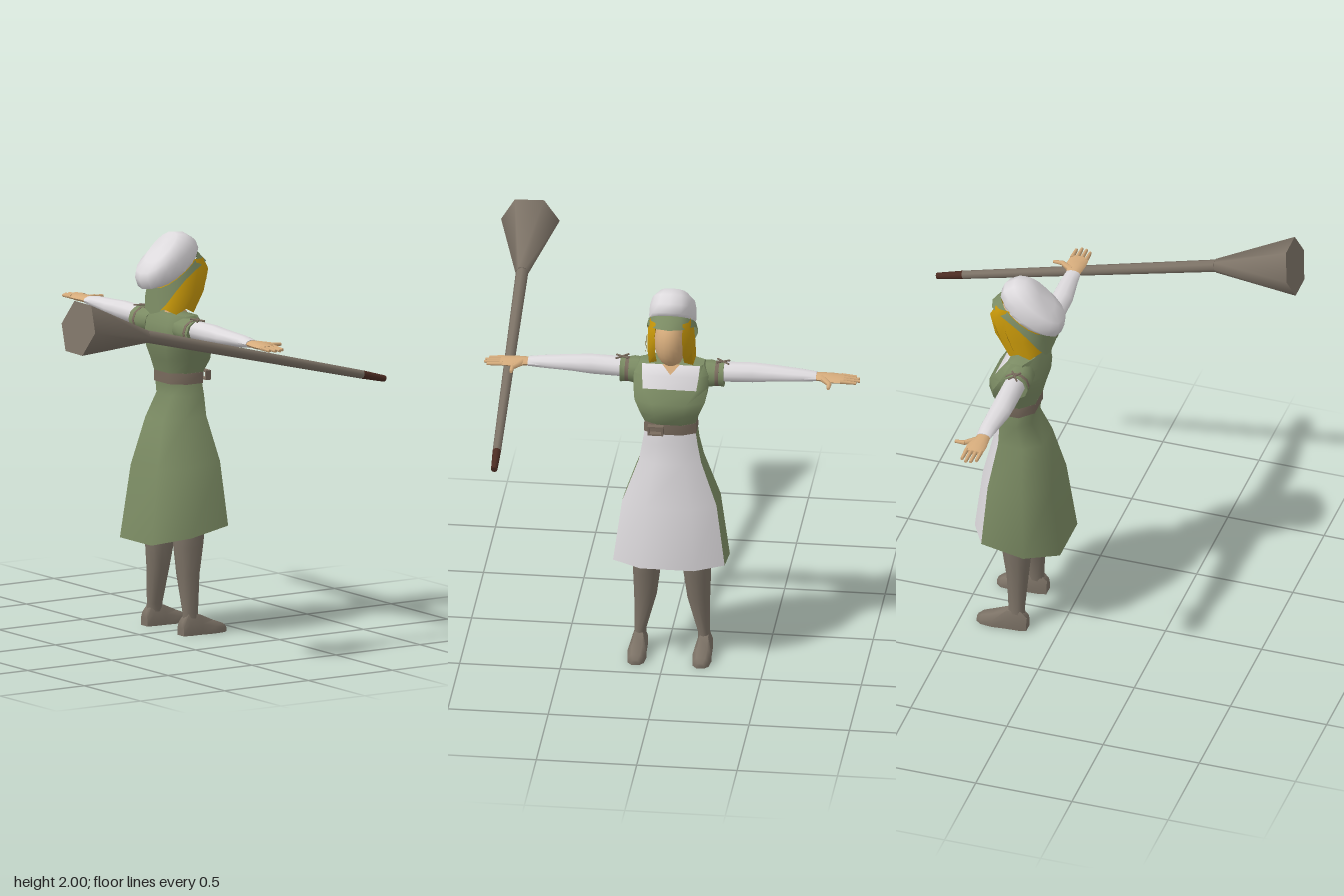
import * as THREE from 'three';
import { toCreasedNormals } from 'three/addons/utils/BufferGeometryUtils.js';

const mat = (name, color) => {
  const m = new THREE.MeshStandardMaterial({ color, side: THREE.DoubleSide });
  m.name = name;
  return m;
};
const M = {
  green: mat('green cloth', 0x7c8c64), white: mat('white linen', 0xdddadd),
  skin: mat('skin', 0xd6ac7c), hair: mat('golden hair', 0xc9990a),
  shade: mat('dark hair strands', 0x8f6c0c), grey: mat('grey brown', 0x7c7266),
  belt: mat('belt leather', 0x7a6c5e), tip: mat('dark brown', 0x4c2c22),
};
const V = (x, y, z) => new THREE.Vector3(x, y, z);

// Skin a list of rings; pick(row, column) chooses a material index
function loft(name, rings, mats, { open = false, caps = true, pick = () => 0, crease = 1.0 } = {}) {
  const n = rings[0].length, pts = rings.flat(), list = [].concat(mats);
  const buckets = list.map(() => []);
  for (let i = 0; i < rings.length - 1; i++) {
    for (let j = 0; j < (open ? n - 1 : n); j++) {
      const a = i * n + j, b = i * n + (j + 1) % n, c = a + n, d = b + n;
      buckets[pick(i, j)].push([a, b, d], [a, d, c]);
    }
  }
  if (caps && !open) {
    [0, rings.length - 1].forEach((r, k) => {
      const mid = V(0, 0, 0);
      rings[r].forEach(p => mid.addScaledVector(p, 1 / n));
      const c = pts.push(mid) - 1;
      for (let j = 0; j < n; j++) {
        const a = r * n + j, b = r * n + (j + 1) % n;
        buckets[0].push(k ? [a, b, c] : [b, a, c]);
      }
    });
  }
  // turn the faces outward by the sign of the enclosed volume
  const centre = V(0, 0, 0);
  pts.forEach(p => centre.addScaledVector(p, 1 / pts.length));
  let vol = 0;
  buckets.flat().forEach(t => {
    const [a, b, c] = t.map(i => pts[i].clone().sub(centre));
    vol += a.dot(b.cross(c));
  });
  if (vol < 0) buckets.flat().forEach(t => t.reverse());
  const geo = new THREE.BufferGeometry().setFromPoints(pts);
  geo.setIndex(buckets.flat(2));
  let start = 0;
  if (list.length > 1) buckets.forEach((b, i) => {
    geo.addGroup(start, b.length * 3, i);
    start += b.length * 3;
  });
  const mesh = new THREE.Mesh(toCreasedNormals(geo, crease), list.length > 1 ? list : list[0]);
  mesh.name = name;
  return mesh;
}

// Eight-sided body section; drop lowers the back, f sets the width of the front face
function oct(y, xb, xf, w, drop = 0, f = 0.48) {
  const D = xf - xb;
  const half = [[xb, y - drop, 0.5 * w], [xb + 0.33 * D, y - drop * 0.5, w], [xb + 0.82 * D, y, w], [xf, y, f * w]];
  return [...half.map(p => V(...p)), ...half.slice().reverse().map(([x, h, z]) => V(x, h, -z))];
}
// Oval through two points of the side plane, with half width w; bow lifts its sides
function tilted(ax, ay, bx, by, w, bow = 0, n = 16) {
  return Array.from({ length: n }, (_, i) => {
    const t = (i / n) * Math.PI * 2, u = (1 - Math.cos(t)) / 2, s = Math.sin(t);
    const z = Math.sign(s) * Math.pow(Math.abs(s), 0.75) * w;
    return V(ax + (bx - ax) * u - bow * 0.5 * s * s, ay + (by - ay) * u + bow * s * s, z);
  });
}
// Oval across an arm
function cuff(z, cx, rx, cy, ry, n = 10) {
  return Array.from({ length: n }, (_, i) => {
    const t = (i / n) * Math.PI * 2;
    return V(cx + Math.cos(t) * rx, cy + Math.sin(t) * ry, z);
  });
}
function rod(name, a, b, ra, rb, n, m) {
  const d = b.clone().sub(a);
  const mesh = new THREE.Mesh(new THREE.CylinderGeometry(rb, ra, d.length(), n), m);
  mesh.position.copy(a).addScaledVector(d, 0.5);
  mesh.quaternion.setFromUnitVectors(V(0, 1, 0), d.normalize());
  mesh.name = name;
  return mesh;
}
function box(name, x, y, z, w, h, d, m) {
  const mesh = new THREE.Mesh(new THREE.BoxGeometry(w, h, d), m);
  mesh.position.set(x, y, z);
  mesh.name = name;
  return mesh;
}
function plate(name, corners, m) {
  const geo = new THREE.BufferGeometry().setFromPoints(corners);
  geo.computeVertexNormals();
  const mesh = new THREE.Mesh(geo, m);
  mesh.name = name;
  return mesh;
}

function dress() {
  const g = new THREE.Group();
  g.name = 'dress';
  g.add(loft('skirtAndApron', [
    oct(0.55, -0.005, 0.44, 0.278, 0.085), oct(0.87, 0.045, 0.405, 0.235, 0.04), oct(1.09, 0.105, 0.357, 0.155, 0.02),
    oct(1.19, 0.165, 0.343, 0.137), oct(1.26, 0.155, 0.338, 0.126),
  ], [M.green, M.white], { caps: false, pick: (i, j) => (j >= 2 && j <= 4 ? 1 : 0) }));
  g.add(loft('bodice', [
    oct(1.29, 0.152, 0.338, 0.122), oct(1.37, 0.132, 0.385, 0.148), oct(1.43, 0.115, 0.378, 0.175),
    oct(1.495, 0.11, 0.335, 0.185, 0, 0.72), oct(1.55, 0.12, 0.3, 0.185, 0, 0.76), oct(1.6, 0.145, 0.265, 0.16, 0, 0.9),
  ], [M.green, M.white], { pick: (i, j) => (i >= 3 && j === 3 ? 1 : 0) }));
  g.add(loft('belt', [oct(1.25, 0.15, 0.345, 0.13), oct(1.305, 0.148, 0.347, 0.128)], M.belt));
  for (const s of [-1, 1]) {
    g.add(box('buckleSide', 0.36, 1.28, 0.066 + s * 0.034, 0.03, 0.048, 0.01, M.belt));
    g.add(box('buckleBar', 0.36, 1.28 + s * 0.02, 0.066, 0.03, 0.008, 0.07, M.belt));
  }
  g.add(plate('neckline', [V(0.271, 1.605, 0.045), V(0.3, 1.56, 0), V(0.271, 1.605, -0.045)], M.skin));
  return g;
}

function arm(s) {
  const g = new THREE.Group();
  g.name = s > 0 ? 'rightArm' : 'leftArm';
  const rings = rows => rows.map(([z, ...r]) => cuff(z * s, ...r));
  g.add(loft('puffSleeve', rings([[0.12, 0.195, 0.065, 1.53, 0.06], [0.19, 0.195, 0.072, 1.53, 0.068],
    [0.225, 0.195, 0.064, 1.53, 0.06], [0.258, 0.195, 0.07, 1.53, 0.066]]), M.green));
  g.add(loft('longSleeve', rings([[0.2, 0.195, 0.055, 1.54, 0.05], [0.4, 0.193, 0.056, 1.545, 0.049],
    [0.5, 0.193, 0.056, 1.547, 0.04], [0.65, 0.203, 0.044, 1.549, 0.029], [0.718, 0.205, 0.038, 1.548, 0.02]]), M.white));
  g.add(loft('palm', rings([[0.705, 0.205, 0.033, 1.548, 0.016], [0.75, 0.208, 0.04, 1.548, 0.018],
    [0.8, 0.214, 0.05, 1.547, 0.017], [0.855, 0.214, 0.047, 1.547, 0.011]]), M.skin));
  [0.915, 0.932, 0.936, 0.92].forEach((end, i) => {
    const x = 0.178 + i * 0.0245;
    g.add(rod('finger', V(x, 1.548, 0.84 * s), V(x + 0.001, 1.544, end * s), 0.0115, 0.008, 6, M.skin));
  });
  g.add(rod('thumbBase', V(0.22, 1.548, 0.745 * s), V(0.283, 1.546, 0.79 * s), 0.019, 0.012, 6, M.skin));
  g.add(rod('thumbTip', V(0.28, 1.546, 0.789 * s), V(0.33, 1.545, 0.79 * s), 0.012, 0.008, 6, M.skin));
  // crossed sleeve laces
  for (const k of [-1, 1]) {
    g.add(rod('sleeveLace', V(0.195 - k * 0.022, 1.6, 0.22 * s), V(0.195 + k * 0.022, 1.594, 0.282 * s), 0.005, 0.005, 5, M.belt));
  }
  g.add(loft('sleeveBand', rings([[0.215, 0.195, 0.067, 1.53, 0.063], [0.233, 0.195, 0.067, 1.53, 0.063]]), M.belt));
  return g;
}

function leg(s) {
  const g = new THREE.Group();
  g.name = s > 0 ? 'rightLeg' : 'leftLeg';
  const rows = [[0.95, 0.16, 0.32, 0.02, 0.15], [0.55, 0.15, 0.315, 0.05, 0.196], [0.44, 0.147, 0.3, 0.057, 0.195],
    [0.3, 0.16, 0.275, 0.075, 0.19], [0.11, 0.172, 0.257, 0.128, 0.188], [0.05, 0.17, 0.26, 0.128, 0.195]];
  g.add(loft('stocking', rows.map(([y, x0, x1, z0, z1]) => Array.from({ length: 10 }, (_, i) => {
    const t = (i / 10) * Math.PI * 2;
    return V((x0 + x1) / 2 + Math.cos(t) * (x1 - x0) / 2, y, s * ((z0 + z1) / 2 + Math.sin(t) * (z1 - z0) / 2));
  })), M.grey));
  const foot = [[0.155, 0.07, 0.028], [0.19, 0.105, 0.037], [0.26, 0.098, 0.04], [0.33, 0.066, 0.047], [0.39, 0.044, 0.04], [0.415, 0.026, 0.02]];
  g.add(loft('shoe', foot.map(([x, h, w]) => [[w, 0], [w, h * 0.55], [0.55 * w, h], [-0.55 * w, h], [-w, h * 0.55], [-w, 0]]
    .map(([z, y]) => V(x, y, s * 0.162 + z))), M.grey));
  return g;
}

function head() {
  const g = new THREE.Group();
  g.name = 'head';
  const face = new THREE.Mesh(new THREE.SphereGeometry(1, 20, 14), M.skin);
  face.scale.set(0.1, 0.135, 0.082);
  face.position.set(0.268, 1.737, 0);
  face.name = 'face';
  g.add(face, rod('neck', V(0.215, 1.56, 0), V(0.24, 1.67, 0), 0.05, 0.042, 10, M.skin));
  // open-fronted hair with a ragged lower edge
  const levels = [[1.87, 0.2, 0.35, 0.1], [1.81, 0.15, 0.382, 0.112], [1.7, 0.125, 0.355, 0.119], [1.605, 0.105, 0.295, 0.118]];
  g.add(loft('hair', levels.map(([y, xb, xf, w], i) => {
    const D = xf - xb, rag = i === 3 ? 0.025 : 0;
    const half = [[xf, y + rag, 0.068], [xf - 0.15 * D, y, 0.93 * w], [xf - 0.4 * D, y + rag, w],
      [xb + 0.3 * D, y, 0.95 * w], [xb + 0.06 * D, y + rag, 0.6 * w]];
    return [...half.map(p => V(...p)), V(xb, y, 0), ...half.slice().reverse().map(([x, h, z]) => V(x, h, -z))];
  }), M.hair, { open: true }));
  for (const s of [-1, 1]) {
    for (const [x, y] of [[0.345, 1.8], [0.29, 1.77]]) {
      g.add(plate('hairStrand', [V(x, y, 0.121 * s), V(x - 0.018, y - 0.05, 0.123 * s), V(x - 0.055, y - 0.14, 0.122 * s)], M.shade));
    }
  }
  // cap: green band and white crown
  g.add(loft('capBand', [tilted(0.085, 1.6, 0.39, 1.85, 0.127, 0.055), tilted(0.095, 1.73, 0.335, 1.905, 0.118)], M.green, { caps: false }));
  g.add(loft('capCrown', [
    tilted(0.1, 1.735, 0.33, 1.9, 0.112), tilted(0.035, 1.73, 0.342, 1.925, 0.118), tilted(0.018, 1.775, 0.325, 1.965, 0.116),
    tilted(0.022, 1.81, 0.275, 1.995, 0.105), tilted(0.07, 1.86, 0.22, 2.0, 0.075),
  ], M.white, { crease: 1.3 }));
  return g;
}

function broom() {
  const g = new THREE.Group();
  g.name = 'broom';
  const neck = V(-0.5, 1.676, 0.808), grip = V(0.805, 1.345, 0.779), end = V(0.94, 1.31, 0.776);
  g.add(rod('bristles', neck, V(-0.91, 1.76, 0.815), 0.034, 0.146, 6, M.grey));
  g.add(rod('handle', neck, grip, 0.031, 0.021, 8, M.grey));
  g.add(rod('handleTip', grip, end, 0.021, 0.016, 8, M.tip));
  return g;
}

export function createModel() {
  const model = new THREE.Group();
  model.name = 'maidWithBroom';
  const figure = new THREE.Group();
  figure.name = 'figure';
  figure.position.z = -0.025;
  figure.add(dress(), head());
  for (const s of [-1, 1]) figure.add(arm(s), leg(s));
  model.add(figure, broom());
  return model;
}
